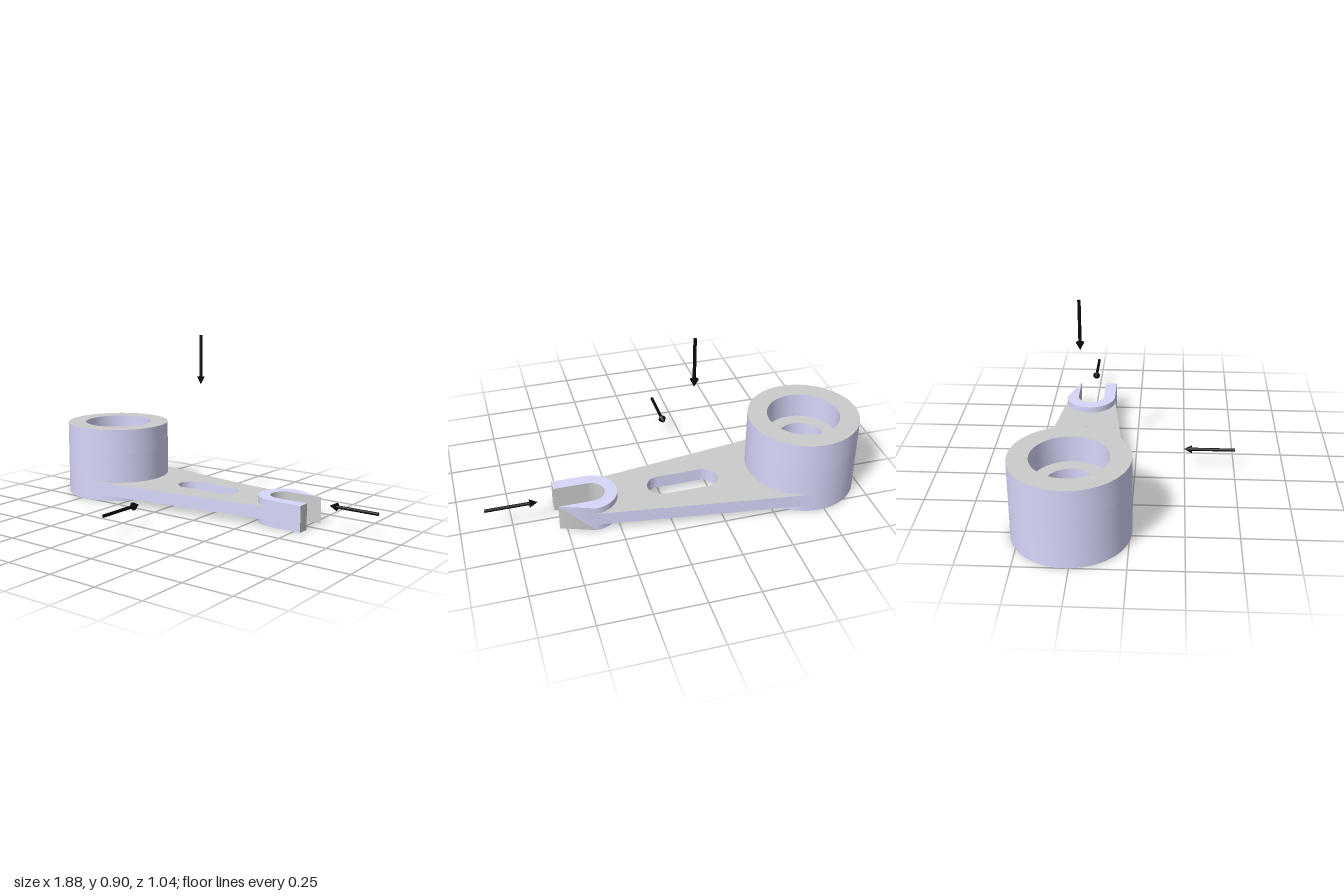
import * as THREE from 'three';
import { toCreasedNormals } from 'three/addons/utils/BufferGeometryUtils.js';

const grey = new THREE.MeshStandardMaterial({ color: 0xcccccc });
const lavender = new THREE.MeshStandardMaterial({ color: 0xd6d6fa });
const black = new THREE.MeshStandardMaterial({ color: 0x0a0a0a });

const BOSS = { x: -0.723, r: 0.277 };
const FORK = { x: 0.367, r: 0.131, slot: 0.07, end: 0.535 };
const AXIS_Z = -0.266;

// Upright extrusion of a plan shape between two heights: grey caps, lavender walls
function slab(name, shape, y0, y1) {
  const raw = new THREE.ExtrudeGeometry(shape, { depth: y1 - y0, bevelEnabled: false, curveSegments: 32 });
  raw.rotateX(-Math.PI / 2).translate(0, y0, 0);
  const mesh = new THREE.Mesh(toCreasedNormals(raw, 0.5), [grey, lavender]);
  mesh.name = name;
  return mesh;
}

function ringShape(x, outer, inner) {
  const shape = new THREE.Shape().absarc(x, 0, outer, 0, Math.PI * 2, false);
  shape.holes.push(new THREE.Path().absarc(x, 0, inner, 0, Math.PI * 2, true));
  return shape;
}

// Tapered web, tangent to the boss and the fork, with a rounded slot
function webShape() {
  const a = Math.acos((BOSS.r - FORK.r) / (FORK.x - BOSS.x));
  const at = (c, r, t) => [c.x + r * Math.cos(t), r * Math.sin(t)];
  const rb = BOSS.r - 0.01, rf = FORK.r - 0.005;
  const shape = new THREE.Shape();
  shape.moveTo(...at(BOSS, BOSS.r, -a));
  shape.lineTo(...at(FORK, FORK.r, -a));
  shape.absarc(FORK.x, 0, rf, -a, -2 * Math.PI + a, true);
  shape.lineTo(...at(FORK, FORK.r, a));
  shape.lineTo(...at(BOSS, BOSS.r, a));
  shape.absarc(BOSS.x, 0, rb, a, -a, true);
  const slot = new THREE.Path();
  slot.absarc(0.01, 0, 0.07, Math.PI / 2, -Math.PI / 2, true);
  slot.absarc(-0.21, 0, 0.07, -Math.PI / 2, -Math.PI * 1.5, true);
  shape.holes.push(slot);
  return shape;
}

function forkShape() {
  const { x, r, slot, end } = FORK;
  const shape = new THREE.Shape();
  shape.moveTo(end, r);
  shape.absarc(x, 0, r, Math.PI / 2, Math.PI * 1.5, false);
  shape.lineTo(end, -r);
  shape.lineTo(end, -slot);
  shape.absarc(x, 0, slot, Math.PI * 1.5, Math.PI / 2, true);
  shape.lineTo(end, slot);
  shape.closePath();
  return shape;
}

// The fork is lavender outside, with grey slot walls and prong ends
function paintFork(mesh) {
  const g = mesh.geometry, p = g.attributes.position, n = g.attributes.normal;
  g.clearGroups();
  for (let i = 0; i < p.count; i += 3) {
    const wall = Math.abs(n.getY(i)) < 0.5;
    const x = p.getX(i), z = p.getZ(i);
    const reach = x > FORK.x ? Math.abs(z) : Math.hypot(x - FORK.x, z);
    const inner = wall && (reach < 0.1 || n.getX(i) > 0.9);
    g.addGroup(i, 3, inner ? 0 : 1);
  }
  return mesh;
}

// Arrow from tail to tip
function arrow(name, tail, tip) {
  const group = new THREE.Group();
  group.name = name;
  const length = tail.distanceTo(tip), head = 0.04;
  const shaft = new THREE.Mesh(new THREE.CylinderGeometry(0.008, 0.008, length - head, 16), black);
  shaft.name = 'arrowShaft';
  shaft.position.y = (length - head) / 2;
  const cone = new THREE.Mesh(new THREE.ConeGeometry(0.02, head, 20), black);
  cone.name = 'arrowHead';
  cone.position.y = length - head / 2;
  group.add(shaft, cone);
  group.position.copy(tail);
  group.quaternion.setFromUnitVectors(new THREE.Vector3(0, 1, 0), tip.clone().sub(tail).normalize());
  return group;
}

export function createModel() {
  const model = new THREE.Group();
  model.name = 'leverArm';

  const lever = new THREE.Group();
  lever.name = 'lever';
  lever.position.z = AXIS_Z;
  lever.add(
    slab('bossLower', ringShape(BOSS.x, BOSS.r, 0.113), 0, 0.26),
    slab('bossCounterbore', ringShape(BOSS.x, BOSS.r, 0.18), 0.26, 0.39),
    slab('web', webShape(), 0.034, 0.1),
    paintFork(slab('fork', forkShape(), 0, 0.133)),
  );

  // Viewing direction arrows
  const v = (x, y, z) => new THREE.Vector3(x, y, z);
  model.add(
    lever,
    arrow('topArrow', v(-0.15, 0.9, AXIS_Z), v(-0.15, 0.645, AXIS_Z)),
    arrow('frontArrow', v(-0.15, 0.11, 0.5), v(-0.15, 0.11, 0.245)),
    arrow('sideArrow', v(0.877, 0.122, -0.261), v(0.622, 0.122, -0.261)),
  );
  return model;
}
